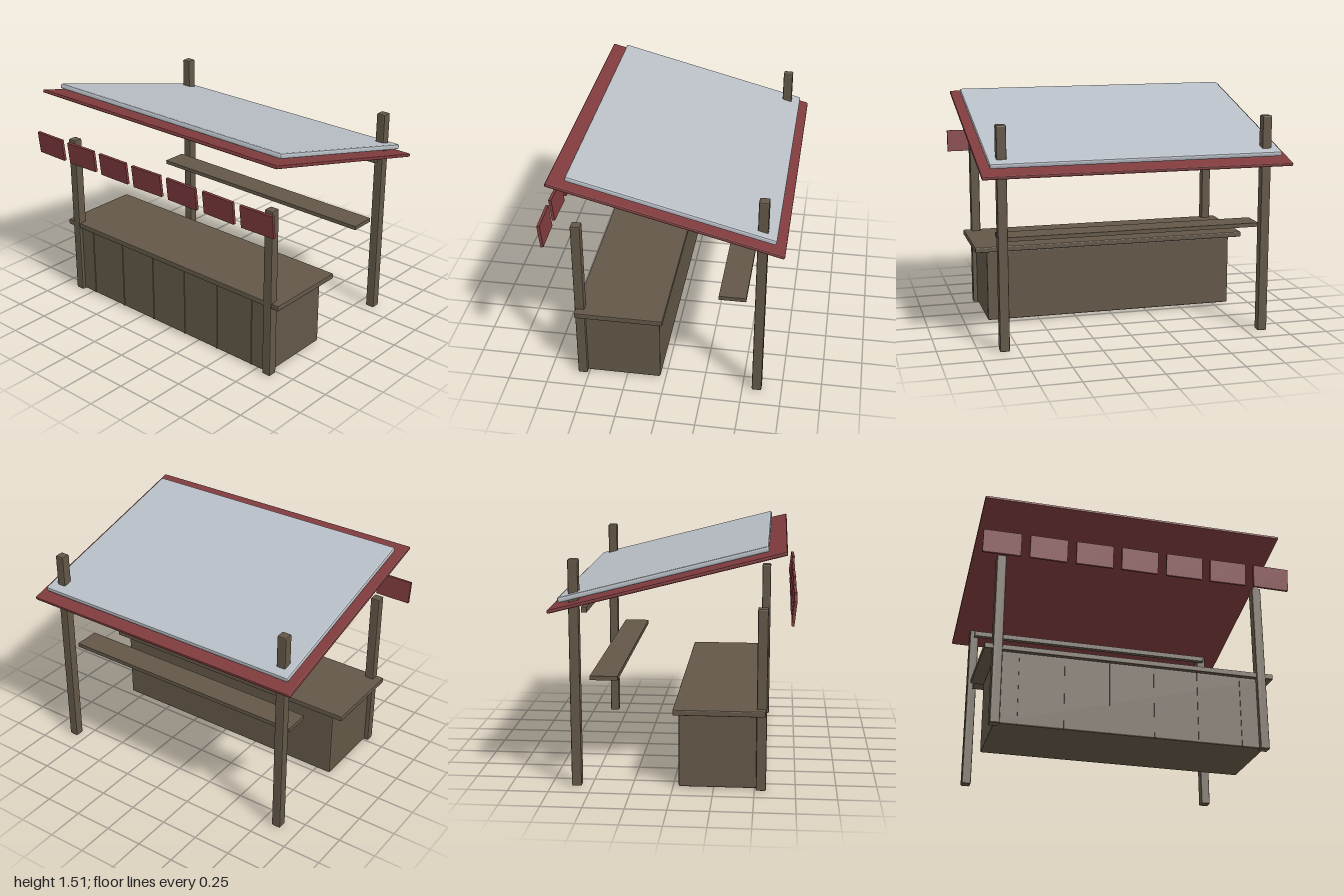
import * as THREE from 'three';
import { RoundedBoxGeometry } from 'three/addons/geometries/RoundedBoxGeometry.js';

export function createModel() {
  const model = new THREE.Group();
  model.name = 'marketStall';

  const material = (name, color) => {
    const m = new THREE.MeshStandardMaterial({ color });
    m.name = name;
    return m;
  };
  const wood = material('brownWood', 0x625747);
  const red = material('redCanvas', 0x7f3b3d);
  const grey = material('greySheet', 0xb8bec5);

  // Box with an optional flat chamfer on every edge
  const box = (name, mat, size, pos, bevel = 0) => {
    const geometry = bevel
      ? new RoundedBoxGeometry(...size, 1, bevel)
      : new THREE.BoxGeometry(...size);
    if (bevel) geometry.computeVertexNormals();
    const mesh = new THREE.Mesh(geometry, mat);
    mesh.name = name;
    mesh.position.set(...pos);
    model.add(mesh);
    return mesh;
  };

  const cx = -0.007; // frame centre line

  // Posts
  for (const [side, x] of [['Right', cx - 0.848], ['Left', cx + 0.848]]) {
    box('frontPost' + side, wood, [0.062, 1.13, 0.062], [x, 0.565, 0.54], 0.008);
    box('backPost' + side, wood, [0.062, 1.41, 0.062], [x, 0.705, -0.592], 0.008);
  }

  // Counter with battens on its front
  box('counterBody', wood, [1.7, 0.475, 0.512], [cx, 0.2425, 0.291], 0.01);
  box('counterTop', wood, [1.86, 0.036, 0.56], [cx, 0.498, 0.285], 0.006);
  for (let i = 0; i < 6; i++) {
    box('counterBatten' + (i + 1), wood, [0.008, 0.465, 0.01],
      [cx + (i - 2.5) * 0.283, 0.2425, 0.547]);
  }

  // Back shelf and roof beam
  box('shelf', wood, [1.7, 0.026, 0.17], [cx, 0.682, -0.42]);
  box('roofBeam', wood, [1.7, 0.034, 0.034], [cx, 1.103, -0.533]);

  // Sloping roof
  const slope = -0.253;
  box('roofCanvas', red, [1.97, 0.022, 1.455], [cx, 1.292, -0.028], 0.008).rotation.x = slope;
  box('roofSheet', grey, [1.86, 0.034, 1.288], [cx, 1.332, -0.054], 0.011).rotation.x = slope;

  // Hanging flaps, each turned a little
  [-0.01, 0.02, 0, 0.02, -0.01, -0.015, 0.025].forEach((turn, i) => {
    const flap = box('flap' + (i + 1), red, [0.238, 0.147, 0.018],
      [(i - 3) * 0.2935, 1.126, 0.721]);
    flap.rotation.set(0.105, turn, 0);
  });

  return model;
}
